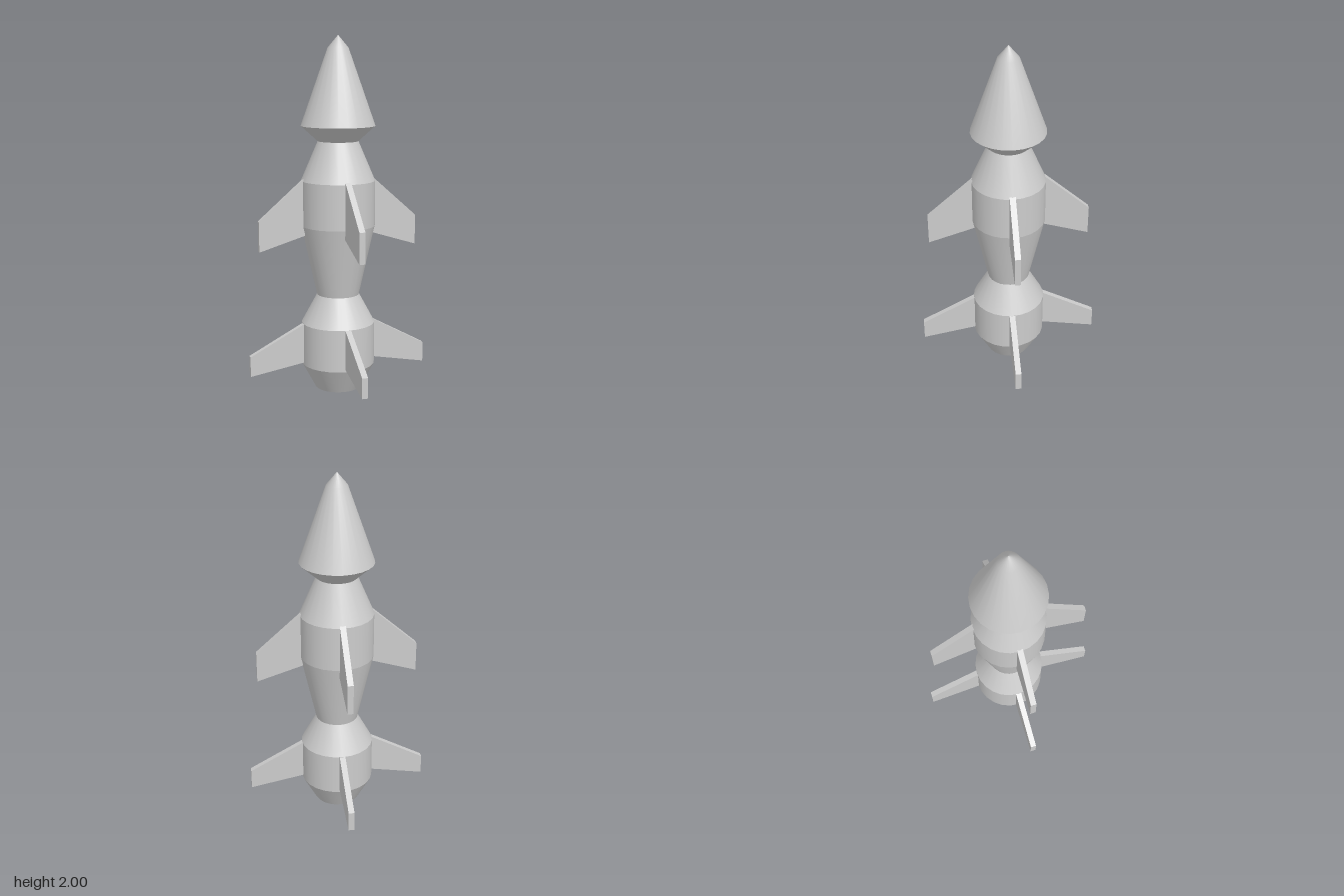
import * as THREE from 'three';

const material = new THREE.MeshStandardMaterial({ color: 0xcccccc, side: THREE.DoubleSide });
const SIDES = 24;

// One stretch of hull: smooth around, with hard edges at its two ends
function hullSection(name, profile) {
  const points = profile.map(([r, y]) => new THREE.Vector2(r, y));
  const mesh = new THREE.Mesh(new THREE.LatheGeometry(points, SIDES), material);
  mesh.name = name;
  return mesh;
}

// Four flat fins around the hull, from an outline of [radius, height] corners
function finSet(name, outline) {
  const thickness = 0.033;
  const shape = new THREE.Shape(outline.map(([r, y]) => new THREE.Vector2(r, y)));
  const geometry = new THREE.ExtrudeGeometry(shape, { depth: thickness, bevelEnabled: false });
  geometry.translate(0, 0, -thickness / 2);
  const group = new THREE.Group();
  group.name = name + 's';
  for (let i = 0; i < 4; i++) {
    const fin = new THREE.Mesh(geometry, material);
    fin.name = name;
    fin.rotation.y = i * Math.PI / 2;
    group.add(fin);
  }
  return group;
}

export function createModel() {
  const model = new THREE.Group();
  model.name = 'missile';

  // Hull, from the open tail up to the neck below the nose
  const rings = [
    [0.13, 0], [0.208, 0.145], [0.208, 0.385], [0.12, 0.548],
    [0.208, 0.946], [0.208, 1.2], [0.114, 1.42], [0.208, 1.505],
  ];
  const names = ['tailCone', 'boosterBody', 'boosterShoulder', 'waistCone',
    'mainBody', 'mainShoulder', 'noseCollar'];
  names.forEach((name, i) => model.add(hullSection(name, [rings[i], rings[i + 1]])));

  // Nose with a blunter tip blended in
  model.add(hullSection('noseCone', [[0.208, 1.505], [0.058, 1.931], [0, 2]]));

  // Swept fins in two tiers
  model.add(finSet('upperFin', [[0.19, 0.898], [0.457, 0.815], [0.457, 0.985], [0.19, 1.222]]));
  model.add(finSet('lowerFin', [[0.195, 0.16], [0.516, 0.102], [0.516, 0.216], [0.195, 0.39]]));

  return model;
}
